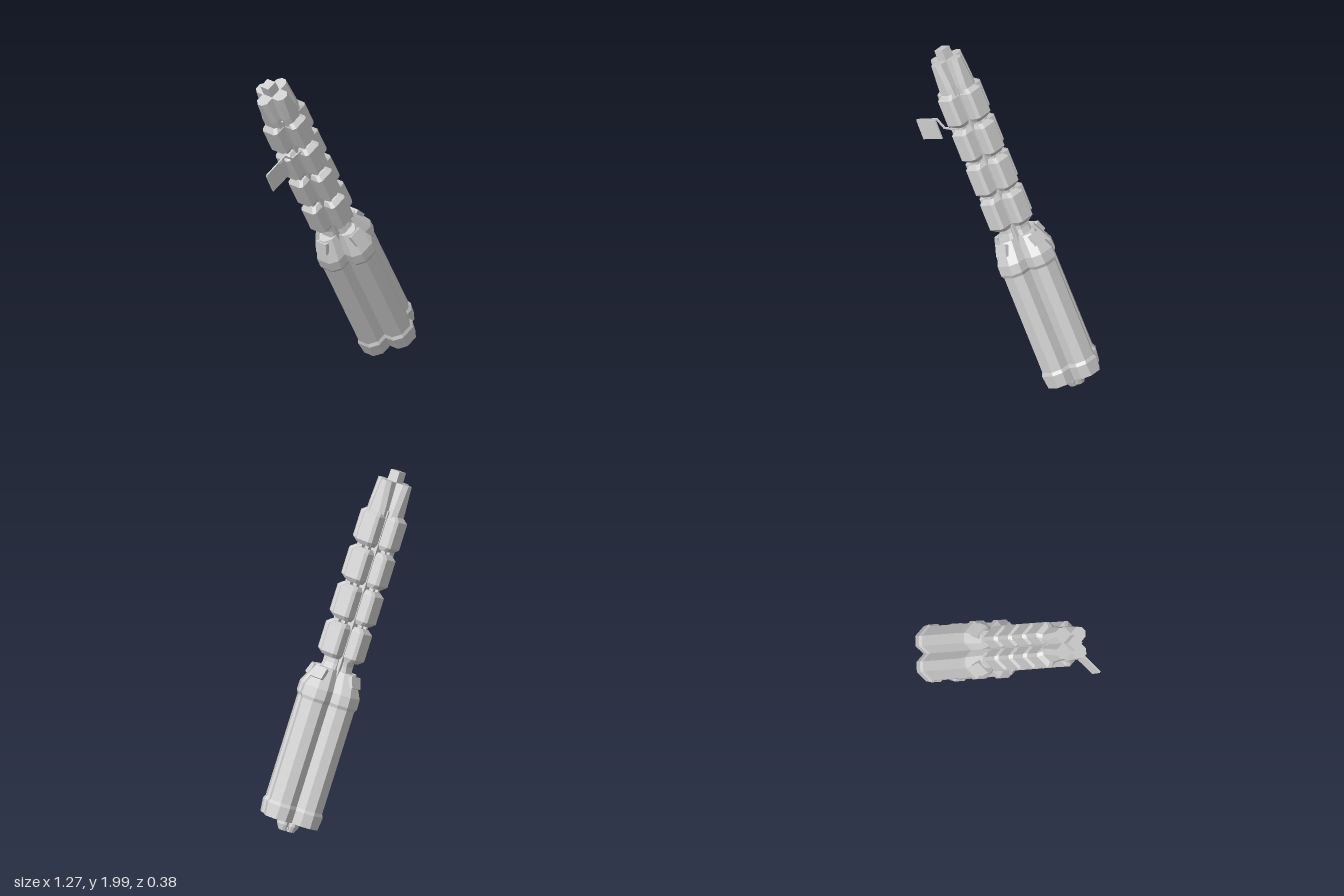
import * as THREE from 'three';

const mat = new THREE.MeshStandardMaterial({ color: 0xcccccc, flatShading: true });

// Radial rib along +x: stations are [height, reach, halfWidth]; outer corners are chamfered.
function ribGeometry(stations, chamfer, inner = 0) {
  const rings = stations.map(([t, r, w]) => {
    const c = Math.min(chamfer, w * 0.7);
    return [[inner, w], [r - c, w], [r, w - c], [r, c - w], [r - c, -w], [inner, -w]]
      .map(([x, z]) => [x, t, z]);
  });
  const pos = [];
  const tri = (a, b, c) => pos.push(...a, ...b, ...c);
  for (let k = 0; k + 1 < rings.length; k++) {
    const lo = rings[k], hi = rings[k + 1];
    for (let i = 0; i < 6; i++) {
      const j = (i + 1) % 6;
      tri(lo[i], lo[j], hi[j]);
      tri(lo[i], hi[j], hi[i]);
    }
  }
  const bottom = rings[0], top = rings[rings.length - 1];
  for (let i = 1; i < 5; i++) {
    tri(top[0], top[i], top[i + 1]);
    tri(bottom[0], bottom[i + 1], bottom[i]);
  }
  const g = new THREE.BufferGeometry();
  g.setAttribute('position', new THREE.Float32BufferAttribute(pos, 3));
  g.computeVertexNormals();
  return g;
}

function addMesh(parent, name, geometry, x = 0, y = 0, z = 0) {
  const m = new THREE.Mesh(geometry, mat);
  m.name = name;
  m.position.set(x, y, z);
  parent.add(m);
  return m;
}

// Repeats a part on the four sides of the shaft.
function fourSides(parent, name, geometry, x = 0, y = 0, tilt = 0) {
  for (let i = 0; i < 4; i++) {
    const side = new THREE.Group();
    side.name = name + 'Side';
    side.rotation.y = i * Math.PI / 2;
    addMesh(side, name, geometry, x, y).rotation.z = tilt;
    parent.add(side);
  }
}

export function createModel() {
  const model = new THREE.Group();
  model.name = 'ribbedBaton';

  // Everything but the tag is built upright, then leaned over
  const baton = new THREE.Group();
  baton.name = 'baton';
  baton.position.set(0.465, 0.093, 0);
  baton.rotation.z = THREE.MathUtils.degToRad(27.8);
  model.add(baton);

  // Handle: four long ribs with raised end bands and sloping shoulders
  fourSides(baton, 'handleRib', ribGeometry([
    [0, 0.187, 0.08], [0.08, 0.192, 0.088], [0.1, 0.185, 0.08], [0.72, 0.185, 0.08],
    [0.74, 0.192, 0.09], [0.8, 0.19, 0.09], [0.925, 0.138, 0.052],
  ], 0.042));
  fourSides(baton, 'shoulderCatch', new THREE.BoxGeometry(0.025, 0.07, 0.085), 0.153, 0.885, 0.4);

  // Pommel: short block with small ribs
  addMesh(baton, 'pommelCore', new THREE.BoxGeometry(0.07, 0.06, 0.07), 0, -0.02, 0);
  fourSides(baton, 'pommelRib', ribGeometry([[-0.06, 0.05, 0.022], [-0.025, 0.066, 0.032], [0.02, 0.066, 0.032]], 0.012));

  // Neck and shaft core
  addMesh(baton, 'shaftCore', new THREE.BoxGeometry(0.13, 1.1, 0.13), 0, 1.35, 0);
  fourSides(baton, 'neckRib', ribGeometry([[0.9, 0.1, 0.05], [0.96, 0.085, 0.045], [1.02, 0.085, 0.045]], 0.015));

  // Grip: four rings of bevelled pads
  const pad = ribGeometry([
    [-0.105, 0.115, 0.045], [-0.08, 0.142, 0.06], [0.08, 0.142, 0.06], [0.105, 0.115, 0.045],
  ], 0.016, 0.03);
  for (let i = 0; i < 4; i++) fourSides(baton, 'gripPad', pad, 0, 1.095 + i * 0.227);

  // Paired links bridging the gaps between pads
  const link = new THREE.BoxGeometry(0.03, 0.07, 0.016);
  for (let i = 0; i < 4; i++) {
    for (const s of [-1, 1]) {
      const g = link.clone().translate(0, 0, s * 0.024);
      fourSides(baton, 'padLink', g, 0.09, 1.208 + i * 0.227);
    }
  }

  // Crown: four prongs around a protruding tip
  fourSides(baton, 'crownProng', ribGeometry([
    [1.8, 0.113, 0.058], [1.92, 0.113, 0.055], [2.07, 0.113, 0.04],
  ], 0.024));
  const tip = new THREE.CylinderGeometry(0.046, 0.055, 0.3, 4).toNonIndexed();
  tip.rotateY(Math.PI / 4);
  tip.computeVertexNormals();
  addMesh(baton, 'crownTip', tip, 0, 1.985, 0);

  // Hanging tag: thin plate under a bent wire
  const tag = new THREE.Group();
  tag.name = 'tag';
  model.add(tag);
  addMesh(tag, 'tagPlate', new THREE.BoxGeometry(0.155, 0.12, 0.01), -0.542, 1.438, 0.096).rotation.z = 0.46;
  const wire = [[-0.635, 1.463], [-0.488, 1.54], [-0.43, 1.505], [-0.36, 1.53]];
  for (let i = 0; i + 1 < wire.length; i++) {
    const [ax, ay] = wire[i], [bx, by] = wire[i + 1];
    const bar = new THREE.BoxGeometry(Math.hypot(bx - ax, by - ay) + 0.005, 0.01, 0.01);
    addMesh(tag, 'tagWire', bar, (ax + bx) / 2, (ay + by) / 2, 0.096).rotation.z = Math.atan2(by - ay, bx - ax);
  }

  return model;
}
